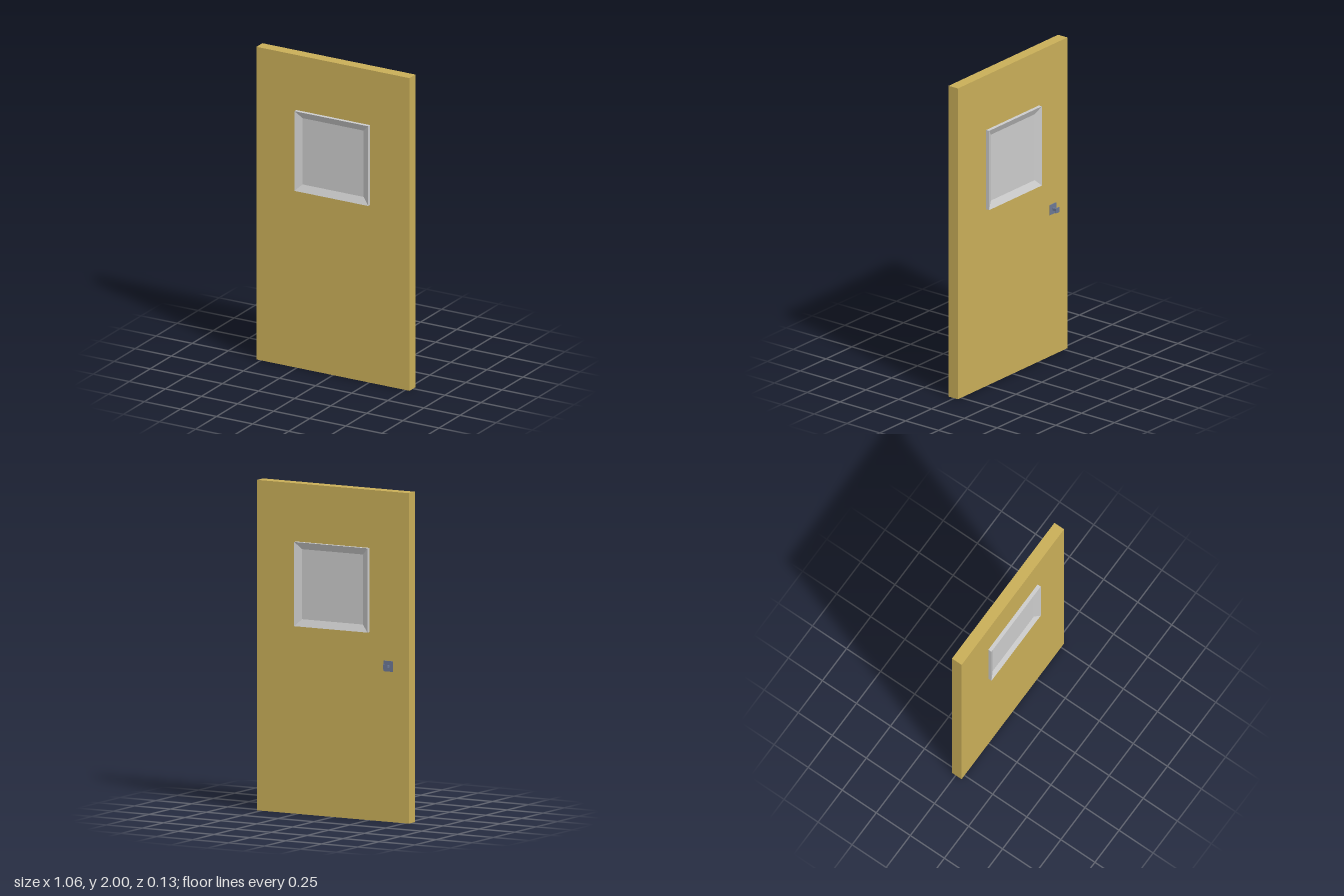
import * as THREE from 'three';

const wood = new THREE.MeshStandardMaterial({ color: 0xc9ae58, flatShading: true });
const grey = new THREE.MeshStandardMaterial({ color: 0xcccccc, flatShading: true });
const steel = new THREE.MeshStandardMaterial({ color: 0x6b7794, flatShading: true });

const BACK = -0.028, FRONT = 0.043;

function add(parent, name, geometry, material, x = 0, y = 0, z = 0) {
  const mesh = new THREE.Mesh(geometry, material);
  mesh.name = name;
  mesh.position.set(x, y, z);
  parent.add(mesh);
  return mesh;
}

// Square ring or solid from [half width, height] points, rising along +z
function squareLathe(profile) {
  const points = profile.map(([half, h]) => new THREE.Vector2(half * Math.SQRT2, h));
  const g = new THREE.LatheGeometry(points, 4).rotateY(Math.PI / 4).rotateX(Math.PI / 2).toNonIndexed();
  g.computeVertexNormals();
  return g;
}

export function createModel() {
  const door = new THREE.Group();
  door.name = 'door';

  // Door slab
  add(door, 'doorSlab', new THREE.BoxGeometry(1.06, 2, FRONT - BACK), wood, 0, 1, (FRONT + BACK) / 2);

  // Window on both faces: mitred frame sloping in to a sunken pane
  for (const [name, z, turn] of [['frontWindow', FRONT, 0], ['backWindow', BACK, Math.PI]]) {
    const side = new THREE.Group();
    side.name = name;
    side.position.set(0.0015, 1.393, z);
    side.rotation.y = turn;
    add(side, 'windowFrame', squareLathe([[0.255, 0], [0.255, 0.023], [0.212, 0.002]]), grey);
    add(side, 'windowPane', new THREE.PlaneGeometry(0.424, 0.424), grey, 0, 0, 0.002);
    door.add(side);
  }

  // Handle on the back: plate, stem and flared square knob
  const handle = new THREE.Group();
  handle.name = 'handle';
  handle.position.set(-0.387, 0.942, BACK);
  handle.rotation.y = Math.PI;
  add(handle, 'handlePlate', new THREE.BoxGeometry(0.064, 0.064, 0.004), steel, 0, 0, 0.002);
  add(handle, 'handleStem', new THREE.BoxGeometry(0.015, 0.015, 0.03), steel, 0, 0, 0.018);
  add(handle, 'handleKnob', squareLathe([[0, 0.032], [0.012, 0.032], [0.016, 0.036], [0.016, 0.04], [0, 0.04]]), steel);
  door.add(handle);

  return door;
}
